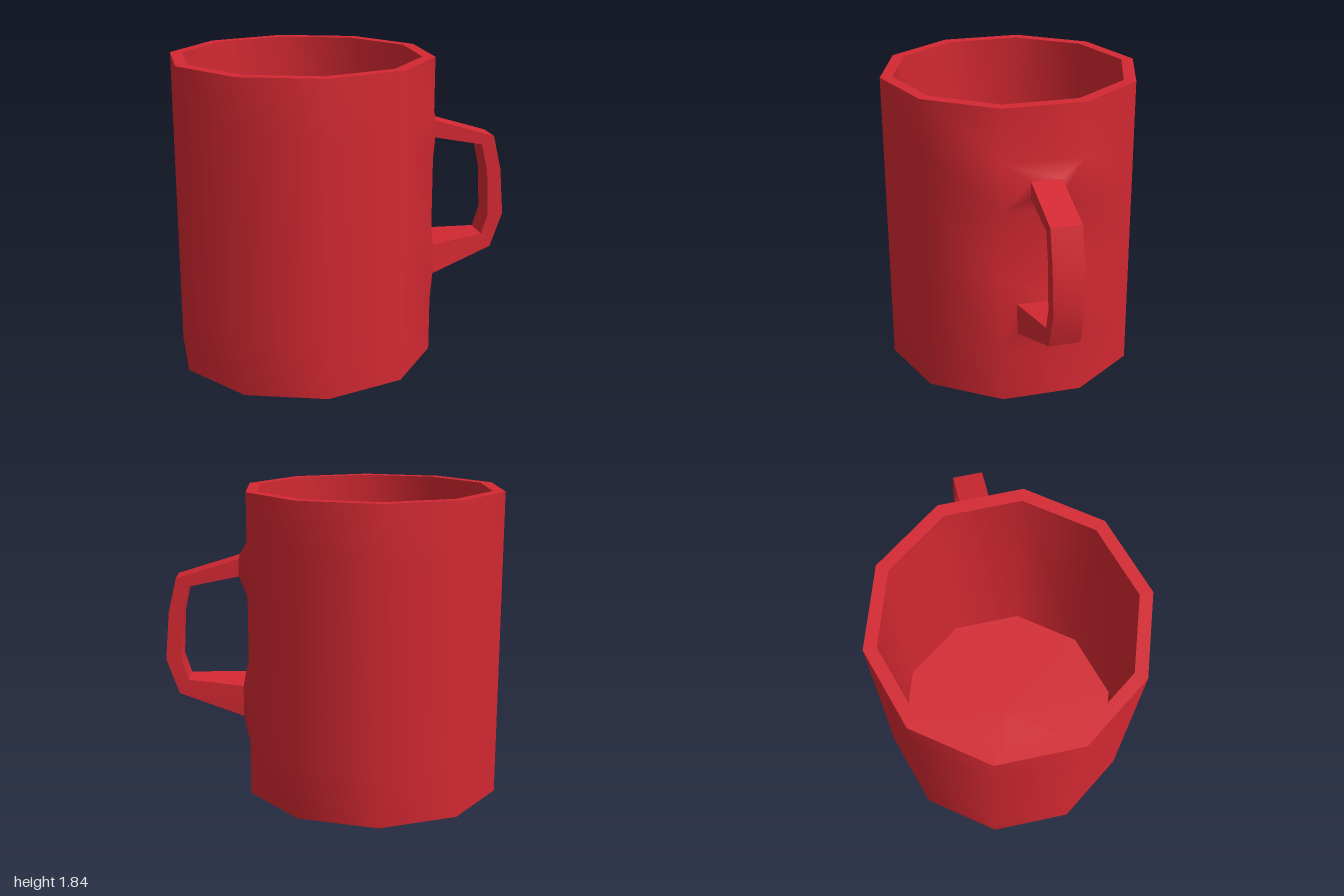
import * as THREE from 'three';
import { mergeGeometries, toCreasedNormals } from 'three/addons/utils/BufferGeometryUtils.js';

const SIDES = 10, RADIUS = 0.785, INNER = 0.71, HEIGHT = 1.84, FLOOR = 0.08;
const CENTRE_X = -0.255, CREASE = 0.9;

// Flat panel of the wall that carries the handle
const WALL_X = CENTRE_X + RADIUS * Math.cos(Math.PI / SIDES);
const WALL_Z = RADIUS * Math.sin(Math.PI / SIDES);

// Handle cross-sections from top to bottom: outer x, y, inner x, y, half width
const SECTIONS = [
  [WALL_X, 1.52, WALL_X, 1.23, WALL_Z],
  [0.55, 1.425, 0.55, 1.32, 0.09],
  [0.925, 1.31, 0.85, 1.26, 0.09],
  [0.975, 1.1, 0.89, 1.08, 0.09],
  [1.0, 0.81, 0.905, 0.81, 0.09],
  [0.925, 0.595, 0.865, 0.68, 0.09],
  [0.53, 0.47, 0.53, 0.66, 0.165],
  [WALL_X, 0.335, WALL_X, 0.8, WALL_Z],
];

// Skin a run of rectangular cross-sections
function loft(sections) {
  const rings = sections.map(([ox, oy, ix, iy, h]) => [
    [ox, oy, h], [ox, oy, -h], [ix, iy, -h], [ix, iy, h],
  ]);
  const positions = [];
  for (let s = 0; s < rings.length - 1; s++) {
    for (let k = 0; k < 4; k++) {
      const n = (k + 1) % 4;
      const a = rings[s][k], b = rings[s][n], c = rings[s + 1][n], d = rings[s + 1][k];
      positions.push(...a, ...d, ...c, ...a, ...c, ...b);
    }
  }
  const geometry = new THREE.BufferGeometry();
  geometry.setAttribute('position', new THREE.Float32BufferAttribute(positions, 3));
  return geometry;
}

export function createModel() {
  const group = new THREE.Group();
  group.name = 'mug';
  const material = new THREE.MeshStandardMaterial({ color: 0xd42832 });

  const add = (name, geometry) => {
    const mesh = new THREE.Mesh(toCreasedNormals(geometry, CREASE), material);
    mesh.name = name;
    group.add(mesh);
  };

  // Hollow ten-sided cup, with wall rows where the handle mounts meet it
  const profile = [
    [0, 0], [RADIUS, 0], [RADIUS, 0.335], [RADIUS, 0.8], [RADIUS, 1.23], [RADIUS, 1.52],
    [RADIUS, HEIGHT], [INNER, HEIGHT], [INNER, FLOOR], [0, FLOOR],
  ].map(([r, y]) => new THREE.Vector2(r, y));
  const cup = new THREE.LatheGeometry(profile, SIDES).toNonIndexed();
  cup.translate(CENTRE_X, 0, 0);
  cup.deleteAttribute('uv');
  cup.deleteAttribute('normal');

  // Flared mounts share the wall's smooth shading
  add('cup', mergeGeometries([cup, loft(SECTIONS.slice(0, 2)), loft(SECTIONS.slice(-2))]));

  // Angular grip
  add('handle', loft(SECTIONS.slice(1, -1)));

  return group;
}
